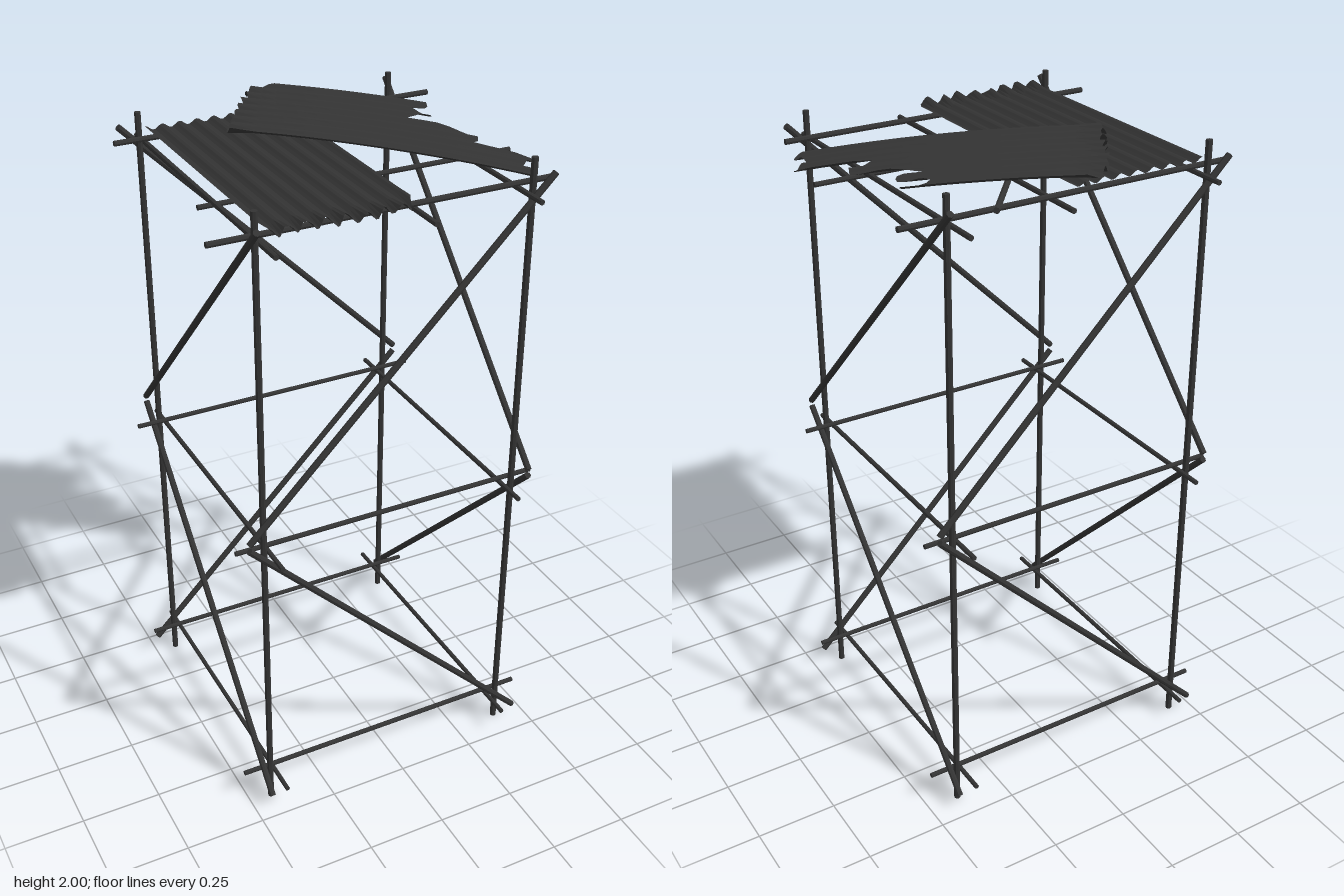
import * as THREE from 'three';

const material = new THREE.MeshStandardMaterial({ color: 0x333333, flatShading: true, side: THREE.DoubleSide });

// Round bar between two points
function bar(name, a, b, radius) {
  const start = new THREE.Vector3(...a), end = new THREE.Vector3(...b);
  const dir = end.clone().sub(start);
  const mesh = new THREE.Mesh(new THREE.CylinderGeometry(radius, radius, dir.length(), 8), material);
  mesh.position.copy(start).add(end).multiplyScalar(0.5);
  mesh.quaternion.setFromUnitVectors(new THREE.Vector3(0, 1, 0), dir.normalize());
  mesh.name = name;
  return mesh;
}

// Linear lookup in a list of [position, value] pairs
function profile(points, v) {
  let i = 1;
  while (i < points.length - 1 && points[i][0] < v) i++;
  const [v0, u0] = points[i - 1], [v1, u1] = points[i];
  return THREE.MathUtils.lerp(u0, u1, THREE.MathUtils.clamp((v - v0) / (v1 - v0), 0, 1));
}

// Corrugated sheet: u runs along the ridges between two edges, v runs across
function sheet(name, width, waves, startEdge, endEdge, place) {
  const rows = 12, cols = 56, positions = [], index = [];
  for (let j = 0; j <= cols; j++) {
    const v = width * j / cols;
    const u0 = startEdge(v), u1 = endEdge(v);
    for (let i = 0; i <= rows; i++) {
      const u = THREE.MathUtils.lerp(u0, u1, i / rows);
      const ripple = 0.007 * Math.cos((v / width) * waves * Math.PI * 2);
      positions.push(...place(u, v, ripple));
      if (i < rows && j < cols) {
        const a = j * (rows + 1) + i, b = a + rows + 1;
        index.push(a, a + 1, b, b, a + 1, b + 1);
      }
    }
  }
  const geometry = new THREE.BufferGeometry();
  geometry.setAttribute('position', new THREE.Float32BufferAttribute(positions, 3));
  geometry.setIndex(index);
  geometry.computeVertexNormals();
  const mesh = new THREE.Mesh(geometry, material);
  mesh.name = name;
  return mesh;
}

export function createModel() {
  const group = new THREE.Group();
  const add = (...args) => group.add(bar(...args));

  // Corner poles
  for (const x of [-0.43, 0.4])
    for (const z of [-0.415, 0.41]) add('cornerPole', [x, 0, z], [x, 1.99, z], 0.01);

  // Horizontal rails at the two lower levels
  for (const y of [0.1, 0.947]) {
    for (const z of [-0.395, 0.39]) add('crossRail', [-0.51, y + 0.009, z], [0.48, y + 0.009, z], 0.0075);
    for (const x of [-0.41, 0.375]) add('sideRail', [x, y - 0.009, -0.495], [x, y - 0.009, 0.495], 0.0075);
  }

  // Top joists
  for (const x of [-0.41, 0.05, 0.375]) add('sideJoist', [x, 1.893, x === 0.05 ? -0.47 : -0.495], [x, 1.893, 0.495], 0.008);
  add('backJoist', [-0.515, 1.914, -0.395], [0.53, 1.914, -0.395], 0.009);
  add('frontJoist', [-0.555, 1.914, 0.39], [0.48, 1.914, 0.39], 0.009);
  add('middleJoist', [-0.455, 1.884, 0.09], [0.53, 1.884, 0.09], 0.008);
  add('slantedJoist', [0.25, 1.914, -0.41], [-0.13, 1.914, 0.06], 0.009);

  // Diagonal braces: one per face and level, opposite faces crossing
  [[0.515, -1], [1.475, 1]].forEach(([y, s]) => {
    for (const [z, f] of [[0.435, s], [-0.44, -s]])
      add('faceBrace', [-0.485, y - f * 0.47, z], [0.455, y + f * 0.47, z], 0.01);
    for (const [x, f] of [[0.42, -s], [-0.45, s]])
      add('sideBrace', [x, y + 0.012 - f * 0.47, -0.47], [x, y + 0.012 + f * 0.47, 0.47], 0.01);
  });

  // Straight roof sheet with a ragged front edge
  const frontEdge = [[0, 0.45], [0.02, 0.465], [0.045, 0.445], [0.06, 0.468], [0.1, 0.44], [0.115, 0.465], [0.14, 0.455],
    [0.17, 0.44], [0.185, 0.47], [0.22, 0.445], [0.235, 0.468], [0.3, 0.47], [0.335, 0.45], [0.4, 0.468], [0.43, 0.4]];
  group.add(sheet('straightSheet', 0.432, 8, (v) => -0.415 + v * 0.02, (v) => profile(frontEdge, v), (u, v, ripple) => {
    const rag = THREE.MathUtils.smoothstep(u, 0.38, 0.46);
    return [-0.41 + v, 1.937 + ripple * (1 + rag * 0.8) + rag * 0.004, u];
  }));

  // Slanted roof sheet, torn at its lower end
  const tornEdge = [[0, 0.85], [0.02, 0.875], [0.08, 0.82], [0.15, 0.855], [0.165, 0.62], [0.2, 0.69], [0.243, 0.68],
    [0.294, 0.454], [0.333, 0.548], [0.345, 0.54], [0.387, 0.44], [0.41, 0.528], [0.43, 0.52]];
  const raggedEdge = [[0, 0], [0.033, -0.02], [0.06, 0], [0.09, -0.02], [0.12, 0.005], [0.15, -0.02], [0.18, 0],
    [0.21, -0.02], [0.24, 0], [0.27, -0.022], [0.3, 0], [0.336, -0.02], [0.37, -0.01], [0.405, 0.003], [0.43, 0.055]];
  group.add(sheet('slantedSheet', 0.43, 8, (v) => profile(raggedEdge, v), (v) => profile(tornEdge, v), (u, v, ripple) => {
    const t = Math.max(u, 0) / 0.86, rag = 1 - THREE.MathUtils.smoothstep(u, -0.02, 0.07);
    const y = 1.985 - 0.03 * t - 0.065 * t * t + ripple * (1 + rag * 0.8);
    return [-0.25 + 0.83 * u + 0.56 * v, y, -0.15 + 0.56 * u - 0.83 * v];
  }));

  return group;
}
